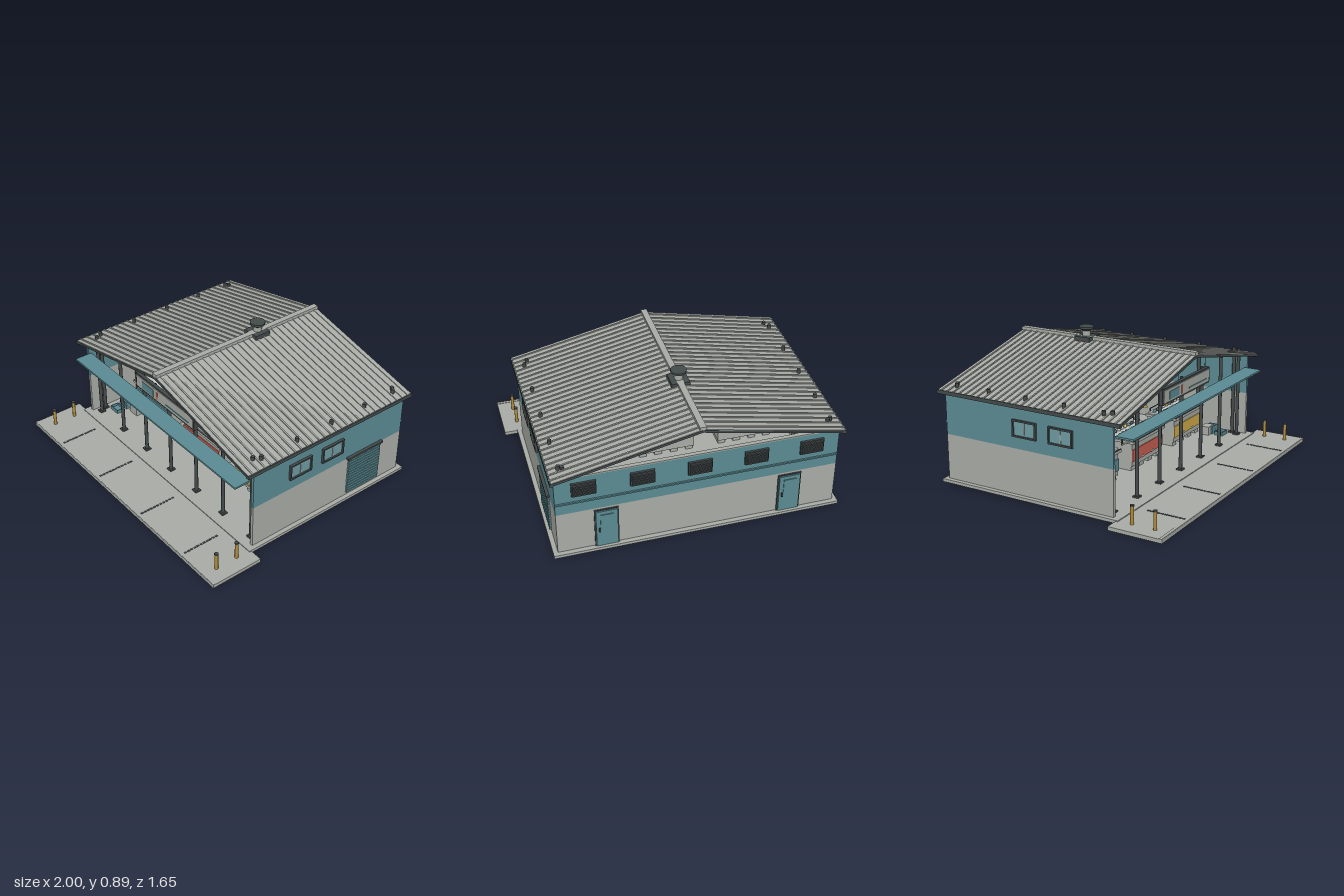
import * as THREE from 'three';

const mat = (name, color, side = THREE.FrontSide) => {
  const m = new THREE.MeshStandardMaterial({ color, side });
  m.name = name;
  return m;
};

export function createModel() {
  const grey = mat('pale grey', 0xaaada7);
  const teal = mat('teal', 0x5b8c94);
  const dark = mat('charcoal', 0x444b4b);
  const red = mat('coral red', 0xcb6052);
  const yellow = mat('yellow', 0xd6ae4a);
  const ochre = mat('ochre', 0xb08d3c);
  const glass = mat('window glass', 0x6f9ca2);
  const ice = mat('ice', 0xc4c9c6);

  const root = new THREE.Group();
  root.name = 'marketHall';
  const group = (name, parent = root) => {
    const g = new THREE.Group();
    g.name = name;
    parent.add(g);
    return g;
  };
  const add = (name, geo, m, x, y, z, parent = root) => {
    const mesh = new THREE.Mesh(geo, m);
    mesh.name = name;
    mesh.position.set(x, y, z);
    parent.add(mesh);
    return mesh;
  };
  // Box given by its lower and upper limits on each axis
  const box = (name, m, x0, x1, y0, y1, z0, z1, parent) =>
    add(name, new THREE.BoxGeometry(x1 - x0, y1 - y0, z1 - z0), m,
      (x0 + x1) / 2, (y0 + y1) / 2, (z0 + z1) / 2, parent);
  const rod = (name, m, r, x, y0, y1, z, parent) =>
    add(name, new THREE.CylinderGeometry(r, r, y1 - y0, 10), m, x, (y0 + y1) / 2, z, parent);

  // Ground slabs and apron joints
  box('floorSlab', grey, -0.915, 0.915, 0.01, 0.03, -0.81, 0.485);
  box('apron', grey, -1, 1, 0, 0.024, 0.47, 0.825);
  box('apronKerb', grey, -1, 1, 0.001, 0.027, 0.805, 0.824);
  for (const x of [-0.68, -0.235, 0.23, 0.68])
    for (let i = 0; i < 11; i++)
      box('apronDrain', dark, x - 0.006, x + 0.006, 0.02, 0.027, 0.545 + i * 0.0235, 0.562 + i * 0.0235);

  // Walls in two bands: grey below, teal above
  const walls = group('walls');
  const bands = [[grey, 0.03, 0.325], [teal, 0.325, 0.592]];
  for (const [m, y0, y1] of bands) {
    for (const s of [-1, 1])
      add('sideWall', new THREE.BoxGeometry(0.02, y1 - y0, 1.22), m, s * 0.876, (y0 + y1) / 2, -0.17, walls);
    box('backWall', m, -0.866, 0.866, y0, y1, -0.78, -0.76, walls);
  }
  box('backRail', teal, -0.886, 0.886, 0.4, 0.41, -0.79, -0.78, walls);
  box('backTopRail', grey, -0.886, 0.886, 0.592, 0.6, -0.785, -0.758, walls);
  box('partition', grey, -0.305, 0.305, 0.03, 0.37, -0.62, -0.58, walls);

  // Side windows on both walls
  for (const s of [-1, 1]) for (const z of [0.08, -0.18]) {
    const w = group('sideWindow');
    w.position.set(s * 0.886, 0.457, z);
    w.rotation.y = s * Math.PI / 2;
    box('windowPane', glass, -0.078, 0.078, -0.045, 0.045, 0, 0.006, w);
    box('windowMullion', grey, -0.003, 0.003, -0.045, 0.045, 0, 0.01, w);
    for (const t of [-1, 1]) {
      add('windowFrame', new THREE.BoxGeometry(0.172, 0.01, 0.016), dark, 0, t * 0.049, 0.008, w);
      add('windowFrame', new THREE.BoxGeometry(0.01, 0.108, 0.016), dark, t * 0.081, 0, 0.008, w);
    }
  }

  // Roller shutter on the +x wall
  const shutter = group('rollerShutter');
  box('shutterBack', grey, 0.886, 0.89, 0.05, 0.325, -0.595, -0.325, shutter);
  for (let i = 0; i < 13; i++)
    box('shutterSlat', teal, 0.886, 0.899, 0.052 + i * 0.021, 0.067 + i * 0.021, -0.595, -0.325, shutter);
  box('shutterHead', dark, 0.886, 0.906, 0.322, 0.336, -0.608, -0.31, shutter);

  // Back doors
  for (const x of [-0.58, 0.58]) {
    box('doorFrame', dark, x - 0.075, x + 0.075, 0.03, 0.312, -0.788, -0.78);
    box('doorLeaf', teal, x - 0.067, x + 0.067, 0.035, 0.305, -0.797, -0.78);
    box('doorPanel', teal, x - 0.04, x + 0.04, 0.19, 0.28, -0.802, -0.797);
    box('doorHandle', dark, x + 0.042, x + 0.052, 0.15, 0.18, -0.806, -0.797);
  }
  // Back louvres
  for (let i = -2; i <= 2; i++) {
    const x = i * 0.355;
    box('louvreFrame', dark, x - 0.075, x + 0.075, 0.455, 0.55, -0.793, -0.78);
    for (let k = 0; k < 5; k++)
      box('louvreBlade', dark, x - 0.068, x + 0.068, 0.463 + k * 0.017, 0.473 + k * 0.017, -0.804, -0.79);
  }

  // Open gabled roof with ribs, dark edges and gutters
  const theta = Math.atan2(0.2, 0.91), L = 0.93, D = 1.325, zc = -0.163;
  for (const s of [-1, 1]) {
    const half = group('roofHalf');
    half.position.set(0, 0.81, zc);
    half.rotation.z = -s * theta;
    add('roofDeck', new THREE.BoxGeometry(L, 0.016, D), dark, s * L / 2, -0.012, 0, half);
    add('roofSheet', new THREE.BoxGeometry(L, 0.004, D - 0.006), grey, s * L / 2, -0.002, 0, half);
    for (let i = 0; i < 28; i++)
      add('roofRib', new THREE.BoxGeometry(L, 0.006, 0.01), grey, s * L / 2, 0.003, -0.63 + i * 1.26 / 27, half);
    add('gutter', new THREE.BoxGeometry(0.024, 0.024, D), dark, s * 0.9, 0.6, zc);
  }
  box('ridgeCap', grey, -0.02, 0.02, 0.806, 0.828, zc - D / 2, zc + D / 2);

  // Roof ventilator
  const vent = group('roofVent');
  vent.position.set(0, 0, -0.317);
  box('ventBase', dark, -0.058, 0.058, 0.795, 0.828, -0.058, 0.058, vent);
  rod('ventPipe', grey, 0.028, 0, 0.82, 0.875, 0, vent);
  add('ventCone', new THREE.CylinderGeometry(0.048, 0.032, 0.014, 20), dark, 0, 0.871, 0, vent);
  add('ventCap', new THREE.CylinderGeometry(0.05, 0.05, 0.014, 20), dark, 0, 0.884, 0, vent);

  // Steel posts along the open front and the side walls
  const posts = group('posts');
  const post = (x, z) => {
    rod('post', dark, 0.012, x, 0.03, 0.652, z, posts);
    add('postBase', new THREE.BoxGeometry(0.04, 0.01, 0.04), dark, x, 0.035, z, posts);
  };
  for (let i = -3; i <= 3; i++) post(i === 0 ? 0 : i * 0.273, 0.395);
  for (const s of [-1, 1]) {
    post(s * 0.82, -0.735);
    for (const z of [0.35, 0.075, -0.2, -0.475, -0.72]) post(s * 0.842, z);
  }

  // Canopy with brackets and lamps
  const canopy = group('canopy');
  box('canopySlab', teal, -0.85, 0.85, 0.503, 0.515, 0.43, 0.55, canopy);
  for (const x of [-0.78, -0.42, 0.42, 0.78]) {
    const strut = add('canopyBracket', new THREE.BoxGeometry(0.007, 0.007, 0.125), grey, x, 0.475, 0.493, canopy);
    strut.rotation.x = -0.5;
    box('bracketPlate', dark, x - 0.004, x + 0.004, 0.44, 0.503, 0.43, 0.438, canopy);
  }
  for (const x of [-0.6, -0.22, 0.22, 0.6]) {
    rod('lampRod', dark, 0.003, x, 0.51, 0.66, 0.25);
    add('lampShade', new THREE.CylinderGeometry(0.008, 0.024, 0.022, 14), ochre, x, 0.5, 0.25);
  }

  // Abstract sign board
  const sign = group('signBoard');
  box('signFrame', dark, -0.308, 0.308, 0.546, 0.65, 0.408, 0.432, sign);
  box('signFace', grey, -0.297, 0.297, 0.557, 0.639, 0.43, 0.437, sign);
  box('signBlock', teal, -0.23, -0.11, 0.57, 0.622, 0.436, 0.44, sign);
  box('signBar', red, -0.08, -0.064, 0.57, 0.622, 0.436, 0.44, sign);
  box('signLine', teal, 0.02, 0.26, 0.577, 0.585, 0.436, 0.44, sign);

  // Three market stalls with iced goods
  const goods = [teal, ice, dark, yellow, ice];
  [[-0.55, teal], [0, red], [0.55, yellow]].forEach(([cx, m]) => {
    const stall = group('marketStall');
    stall.position.x = cx;
    box('stallBody', grey, -0.19, 0.19, 0.06, 0.222, -0.06, 0.145, stall);
    for (const x of [-0.16, -0.055, 0.055, 0.16])
      box('stallLeg', grey, x - 0.025, x + 0.025, 0.03, 0.06, -0.05, 0.135, stall);
    box('stallPanel', m, -0.19, 0.19, 0.093, 0.172, 0.145, 0.152, stall);
    for (const x of [-0.06, 0.06])
      box('panelNotch', grey, x - 0.016, x + 0.016, 0.092, 0.106, 0.15, 0.154, stall);
    box('stallCounter', grey, -0.2, 0.2, 0.215, 0.232, -0.07, 0.165, stall);
    box('counterLip', dark, -0.2, 0.2, 0.232, 0.237, 0.157, 0.165, stall);
    box('iceBed', ice, -0.185, 0.185, 0.232, 0.245, -0.055, 0.15, stall);
    for (let r = 0; r < 3; r++) for (let i = 0; i < 9; i++) {
      const item = add('produce', new THREE.SphereGeometry(0.014, 8, 6), goods[(i * 2 + r * 3) % 5],
        -0.165 + i * 0.041, 0.252, -0.02 + r * 0.06, stall);
      item.scale.set(1.35, 0.8, 0.8);
      item.rotation.y = (i + r) % 3 * 0.5;
    }
    box('scaleRail', dark, -0.17, 0.17, 0.262, 0.267, -0.058, -0.052, stall);
    for (const x of [-0.165, 0.165]) box('railPost', dark, x - 0.003, x + 0.003, 0.232, 0.267, -0.058, -0.052, stall);
  });

  // Stacked crates near the side walls
  const crate = (m, x, y, z) => {
    const c = group('crate');
    c.position.set(x, y, z);
    box('crateBase', m, -0.04, 0.04, 0, 0.008, -0.03, 0.03, c);
    for (const t of [-1, 1]) {
      add('crateSide', new THREE.BoxGeometry(0.08, 0.026, 0.005), m, 0, 0.013, t * 0.028, c);
      add('crateEnd', new THREE.BoxGeometry(0.005, 0.026, 0.06), m, t * 0.038, 0.013, 0, c);
    }
  };
  for (const s of [-1, 1]) {
    crate(teal, s * 0.77, 0.03, 0.22);
    crate(teal, s * 0.77, 0.057, 0.22);
    crate(teal, s * 0.765, 0.03, 0.3);
  }
  for (const x of [-0.66, 0.73]) box('coolBox', grey, x - 0.04, x + 0.04, 0.03, 0.09, 0.18, 0.24);

  // Bollards on the apron
  for (const x of [-0.9, 0.9]) for (const z of [0.573, 0.725]) {
    rod('bollard', ochre, 0.011, x, 0.024, 0.134, z);
    rod('bollardCap', dark, 0.013, x, 0.134, 0.144, z);
  }
  return root;
}
